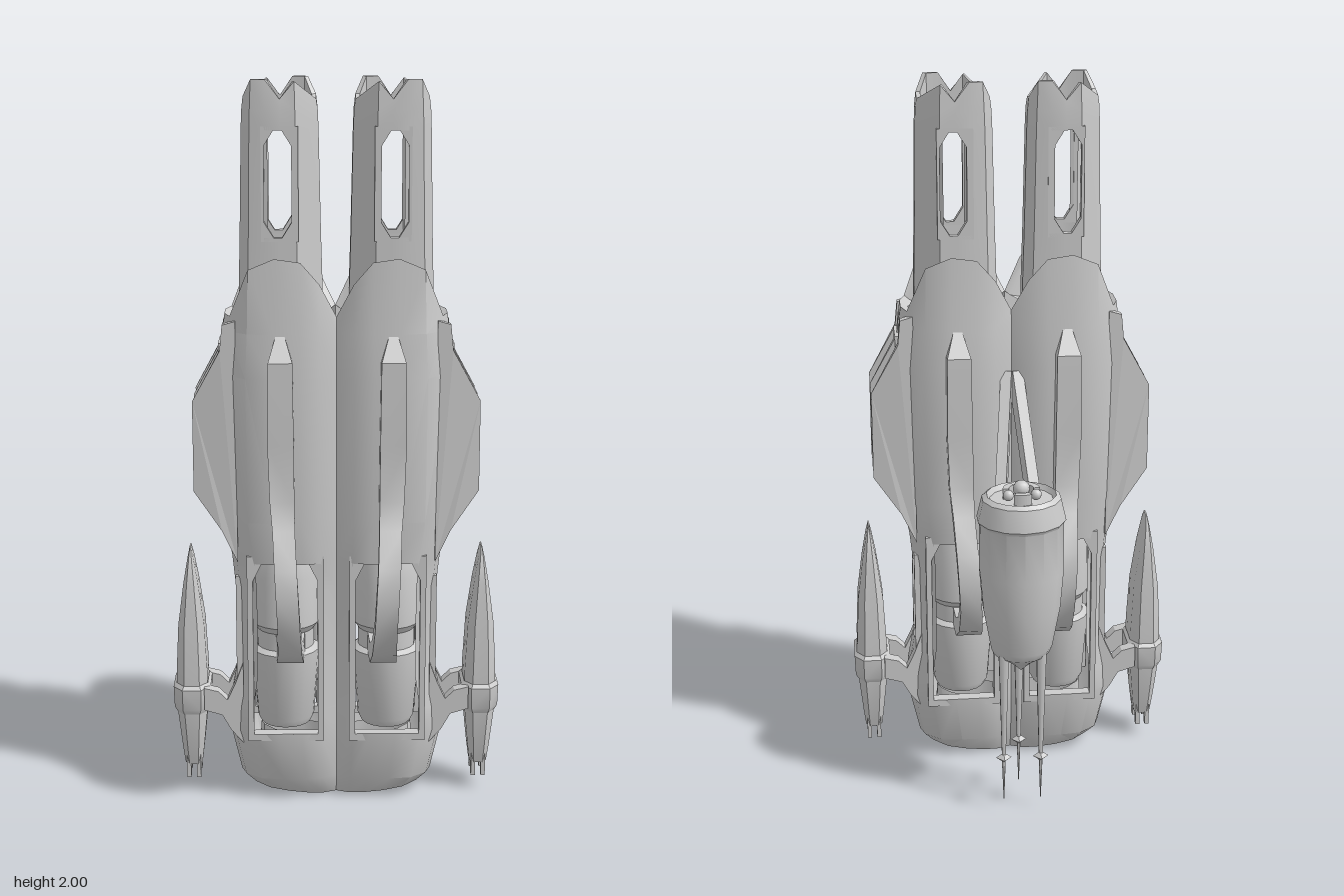
import * as THREE from 'three';
import { toCreasedNormals } from 'three/addons/utils/BufferGeometryUtils.js';

const ZC = 0.095; // middle of the hull in depth
const mat = new THREE.MeshStandardMaterial({ color: 0xcccccc, side: THREE.DoubleSide });

function add(parent, name, geo, x = 0, y = 0, z = 0) {
  const m = new THREE.Mesh(geo, mat);
  m.name = name;
  m.position.set(x, y, z);
  parent.add(m);
  return m;
}

// Surface through rows of [x, y, z] points; skip(row, col) leaves openings
function loft(rows, { closed = true, caps = false, skip = () => false, crease = 0.6 } = {}) {
  const n = rows[0].length, idx = [];
  for (let r = 0; r < rows.length - 1; r++) {
    for (let c = 0; c < (closed ? n : n - 1); c++) {
      if (skip(r, c)) continue;
      const a = r * n + c, b = r * n + (c + 1) % n;
      idx.push(a, b, b + n, a, b + n, a + n);
    }
  }
  if (caps) {
    const t = (rows.length - 1) * n;
    for (let c = 1; c < n - 1; c++) idx.push(0, c + 1, c, t, t + c, t + c + 1);
  }
  const g = new THREE.BufferGeometry();
  g.setAttribute('position', new THREE.Float32BufferAttribute(rows.flat(2), 3));
  g.setIndex(idx);
  g.computeVertexNormals();
  return toCreasedNormals(g, crease);
}

const shapeOf = (pts) => new THREE.Shape(pts.map(([x, y]) => new THREE.Vector2(x, y)));
function plate(pts, depth, hole) {
  const s = shapeOf(pts);
  if (hole) s.holes.push(shapeOf(hole));
  return new THREE.ExtrudeGeometry(s, { depth, bevelEnabled: false });
}
const rect = (x0, y0, x1, y1) => [[x0, y0], [x1, y0], [x1, y1], [x0, y1]];

// Rectangular bar between two points
function strut(parent, name, a, b, w, d) {
  const A = new THREE.Vector3(...a), B = new THREE.Vector3(...b);
  const m = add(parent, name, new THREE.BoxGeometry(w, d, A.distanceTo(B)));
  m.position.copy(A).add(B).multiplyScalar(0.5);
  m.lookAt(B);
}

// Hull outline as [x fraction, depth fraction], front round to back
const front = [[0, 0.72], [0.15, 0.93], [0.32, 1], [0.55, 1], [0.78, 0.93], [0.95, 0.6], [1, 0.25]];
const outline = [...front, ...[...front].reverse().map(([u, w]) => [u, -w])];
const peak = [0, 0.09, 0.15, 0.16, 0.13, 0, 0];
const lift = [...peak, ...[...peak].reverse()];

function hull(g) {
  const ring = (y, X, D) => outline.map(([u, w]) => [u * X, y, ZC + w * D]);
  const shrink = (row, k, dy) => row.map(([x, y, z]) => [0.145 + (x - 0.145) * k, y + dy, ZC + (z - ZC) * k]);
  const bottom = ring(0, 0.24, 0.075).map(([x, , z]) => [x, 0.5 * x * x, z]);
  const top = ring(1.38, 0.3, 0.13).map(([x, y, z], i) => [x, y + lift[i], z]);
  const rows = [
    shrink(bottom, 0.7, 0.17), shrink(bottom, 0.82, 0.01), bottom,
    ring(0.06, 0.268, 0.11), ring(0.2, 0.3, 0.122), ring(0.27, 0.298, 0.12), ring(0.37, 0.28, 0.117),
    ring(0.62, 0.28, 0.12), ring(0.7, 0.288, 0.128), ring(0.82, 0.308, 0.14), ring(1.22, 0.312, 0.145),
    ring(1.34, 0.305, 0.14), top, shrink(top, 0.9, -0.01),
    shrink(ring(1.36, 0.3, 0.13), 0.72, 0),
  ];
  const bay = (c) => (c >= 1 && c <= 3) || (c >= 9 && c <= 11);
  add(g, 'hull', loft(rows, {
    closed: false,
    skip: (r, c) => (r >= 4 && r <= 7 && bay(c)) || (r === 6 && c >= 5 && c <= 7),
  }));
  // Framed engine bay openings, front and back
  const hole = [[0.052, 0.2], [0.23, 0.2], [0.23, 0.65], [0.205, 0.7], [0.077, 0.7], [0.052, 0.65]];
  for (const d of [0.085, -0.118])
    add(g, 'bayFrame', plate(rect(0.035, 0.18, 0.246, 0.72), 0.033, hole), 0, 0, ZC + d);
  for (const z of [0.03, 0.16]) add(g, 'sideRib', new THREE.BoxGeometry(0.02, 0.3, 0.02), 0.268, 0.5, z);
  add(g, 'sidePanel', new THREE.BoxGeometry(0.02, 0.5, 0.1), 0.308, 1.05, ZC);
}

function barrel(g) {
  // Rounded box tube with a notched, hollow muzzle and a slot through it
  const half = [[-0.04, 0.09, 0.045], [0, 0.09, 0], [0.04, 0.09, 0.05], [0.078, 0.082, 0.05], [0.1, 0.05, 0.005], [0.1, 0, -0.005]];
  const cols = [...half, ...half.map(([x, z, t]) => [-x, -z, t])];
  const ring = (y, k, crown = 0) => cols.map(([x, z, t]) => [0.148 + x * k, y + crown * t, ZC + z * Math.min(k, 1)]);
  const rows = [
    ring(1.3, 1.14), ring(1.45, 1.12), ring(1.59, 1.08), ring(1.87, 1.02), ring(1.92, 1),
    ring(1.95, 0.96, 1), ring(1.95, 0.84, 1), ring(1.87, 0.82), ring(1.59, 0.8), ring(1.46, 0.76), ring(1.45, 0.55),
  ];
  add(g, 'barrel', loft(rows, {
    caps: true, crease: 0.5,
    skip: (r, c) => (r === 2 || r === 7) && [0, 1, 6, 7].includes(c),
  }));
  const slot = [[0.143, 1.59], [0.165, 1.59], [0.19, 1.63], [0.19, 1.83], [0.165, 1.87], [0.143, 1.87], [0.118, 1.83], [0.118, 1.63]];
  for (const d of [0.068, -0.09])
    add(g, 'slotFrame', plate(rect(0.1, 1.58, 0.198, 1.88), 0.022, slot), 0, 0, ZC + d);
}

function engine(g) {
  const profile = [[0.06, 0.24], [0.07, 0.2], [0.08, 0.22], [0.096, 0.42], [0.08, 0.43], [0.08, 0.48], [0.094, 0.5], [0.092, 0.64], [0.075, 0.72], [0.05, 0.8], [0, 0.82]];
  const geo = new THREE.LatheGeometry(profile.map(([x, y]) => new THREE.Vector2(x, y)), 20);
  add(g, 'engineCore', toCreasedNormals(geo, 0.6), 0.142, 0, ZC);
}

function handles(g) {
  // Spine ridge running down into a curved handle: y, depth, x, width, thickness
  const path = [
    [1.34, 0.13, 0.15, 0.02, 0.01], [1.27, 0.165, 0.15, 0.065, 0.045], [1.05, 0.168, 0.15, 0.07, 0.05],
    [0.89, 0.165, 0.147, 0.066, 0.05], [0.81, 0.2, 0.143, 0.06, 0.045], [0.72, 0.262, 0.138, 0.06, 0.04],
    [0.65, 0.272, 0.134, 0.06, 0.04], [0.57, 0.266, 0.13, 0.06, 0.04], [0.49, 0.21, 0.128, 0.066, 0.045],
    [0.45, 0.14, 0.128, 0.074, 0.055], [0.45, 0.06, 0.128, 0.08, 0.06],
  ];
  const rows = path.map(([y, d, x, w, t], i) => {
    const p = path[Math.max(i - 1, 0)], q = path[Math.min(i + 1, path.length - 1)];
    const l = Math.hypot(q[0] - p[0], q[1] - p[1]);
    const ny = (q[1] - p[1]) / l * t / 2, nd = -(q[0] - p[0]) / l * t / 2;
    return [[-1, 1], [-1, -1], [1, -1], [1, 1]].map(([a, b]) => [x + a * w / 2, y + b * ny, d + b * nd]);
  });
  const geo = loft(rows, { caps: true });
  for (const s of [1, -1]) add(g, 'handle', geo, 0, 0, ZC).scale.z = s;
}

function sideFins(g) {
  for (const z of [0.005, ZC, 0.187]) {
    const geo = plate([[0.27, 1.37], [0.305, 1.36], [0.312, 1.29], [0.388, 1.15], [0.388, 0.9], [0.312, 0.79], [0.27, 0.7]], 0.024).translate(0, 0, -0.012);
    const p = geo.attributes.position;
    for (let i = 0; i < p.count; i++) if (p.getX(i) > 0.35) p.setZ(i, p.getZ(i) * 0.15);
    geo.computeVertexNormals();
    add(g, 'sideFin', geo, 0, 0, z);
  }
}

function sidePod(g) {
  const ring = ([y, hx, hz]) => [[-0.5, 1], [0.5, 1], [1, 0.6], [1, -0.6], [0.5, -1], [-0.5, -1], [-1, -0.6], [-1, 0.6]]
    .map(([a, b]) => [0.405 + a * hx, y, 0.1 + b * hz]);
  const body = [[0.08, 0.024, 0.042], [0.13, 0.03, 0.055], [0.25, 0.042, 0.075], [0.36, 0.043, 0.075], [0.5, 0.036, 0.068], [0.62, 0.02, 0.056], [0.69, 0.008, 0.04], [0.72, 0.002, 0.02]];
  add(g, 'sidePod', loft(body.map(ring), { caps: true, crease: 0.9 }));
  const band = [[0.245, 0.043, 0.076], [0.26, 0.05, 0.083], [0.32, 0.052, 0.085], [0.33, 0.044, 0.076]];
  add(g, 'podBand', loft(band.map(ring)));
  for (const x of [-0.014, 0.014]) for (const z of [-0.03, 0.03])
    add(g, 'podProng', new THREE.BoxGeometry(0.012, 0.07, 0.022), 0.405 + x, 0.075, 0.1 + z);
  const arm = [[0.26, 0.16], [0.295, 0.2], [0.32, 0.245], [0.37, 0.26], [0.37, 0.325], [0.33, 0.315], [0.305, 0.29], [0.282, 0.34], [0.26, 0.4]];
  for (const z of [0.015, 0.145]) add(g, 'podArm', plate(arm, 0.035), 0, 0, z);
}

function sensorTurret(root) {
  const g = new THREE.Group();
  g.name = 'rearTurret';
  g.position.z = -0.273;
  root.add(g);
  const profile = [[0, 0.42], [0.03, 0.45], [0.072, 0.48], [0.08, 0.5], [0.1, 0.62], [0.108, 0.73], [0.107, 0.87], [0.113, 0.88], [0.1, 0.94], [0.088, 0.95], [0.08, 0.935], [0, 0.935]];
  const geo = new THREE.LatheGeometry(profile.map(([x, y]) => new THREE.Vector2(x, y)), 14);
  add(g, 'turretBody', toCreasedNormals(geo, 0.6)).scale.x = 1.08;
  // Cluster of domes and arc guards on top
  add(g, 'centreDome', new THREE.SphereGeometry(0.023, 12, 8), 0, 0.965, 0);
  for (let i = 0; i < 3; i++) {
    const a = i * Math.PI * 2 / 3;
    add(g, 'smallDome', new THREE.SphereGeometry(0.015, 10, 8), Math.sin(a) * 0.043, 0.955, Math.cos(a) * 0.043);
    const arc = new THREE.Shape();
    arc.absarc(0, 0, 0.05, -0.5, 0.5, false);
    arc.absarc(0, 0, 0.033, 0.5, -0.5, true);
    const guard = add(g, 'arcGuard', new THREE.ExtrudeGeometry(arc, { depth: 0.035, bevelEnabled: false, curveSegments: 5 }), 0, 0.93, 0);
    guard.rotation.set(-Math.PI / 2, 0, a + Math.PI / 2);
    // Hanging antenna with a small diamond collar
    const x = Math.sin(a) * 0.06, z = Math.cos(a) * 0.066 - 0.006;
    add(g, 'antennaRod', new THREE.CylinderGeometry(0.017, 0.006, 0.36, 6), x, 0.35, z);
    add(g, 'antennaCollar', new THREE.OctahedronGeometry(0.022), x, 0.168, z).scale.y = 0.7;
    add(g, 'antennaTip', new THREE.CylinderGeometry(0.006, 0.001, 0.13, 5), x, 0.1, z);
  }
  // Struts joining the turret to the hull
  for (const s of [1, -1]) {
    strut(root, 'upperStrut', [s * 0.012, 1.2, 0], [s * 0.05, 0.84, -0.19], 0.03, 0.05);
    strut(root, 'lowerStrut', [s * 0.012, 0.4, 0], [s * 0.05, 0.72, -0.19], 0.03, 0.06);
  }
}

export function createModel() {
  const root = new THREE.Group();
  root.name = 'twinHullShip';
  const left = new THREE.Group();
  left.name = 'leftHalf';
  for (const part of [hull, barrel, engine, handles, sideFins, sidePod]) part(left);
  const right = left.clone();
  right.name = 'rightHalf';
  right.scale.x = -1;
  root.add(left, right);
  sensorTurret(root);
  return root;
}
